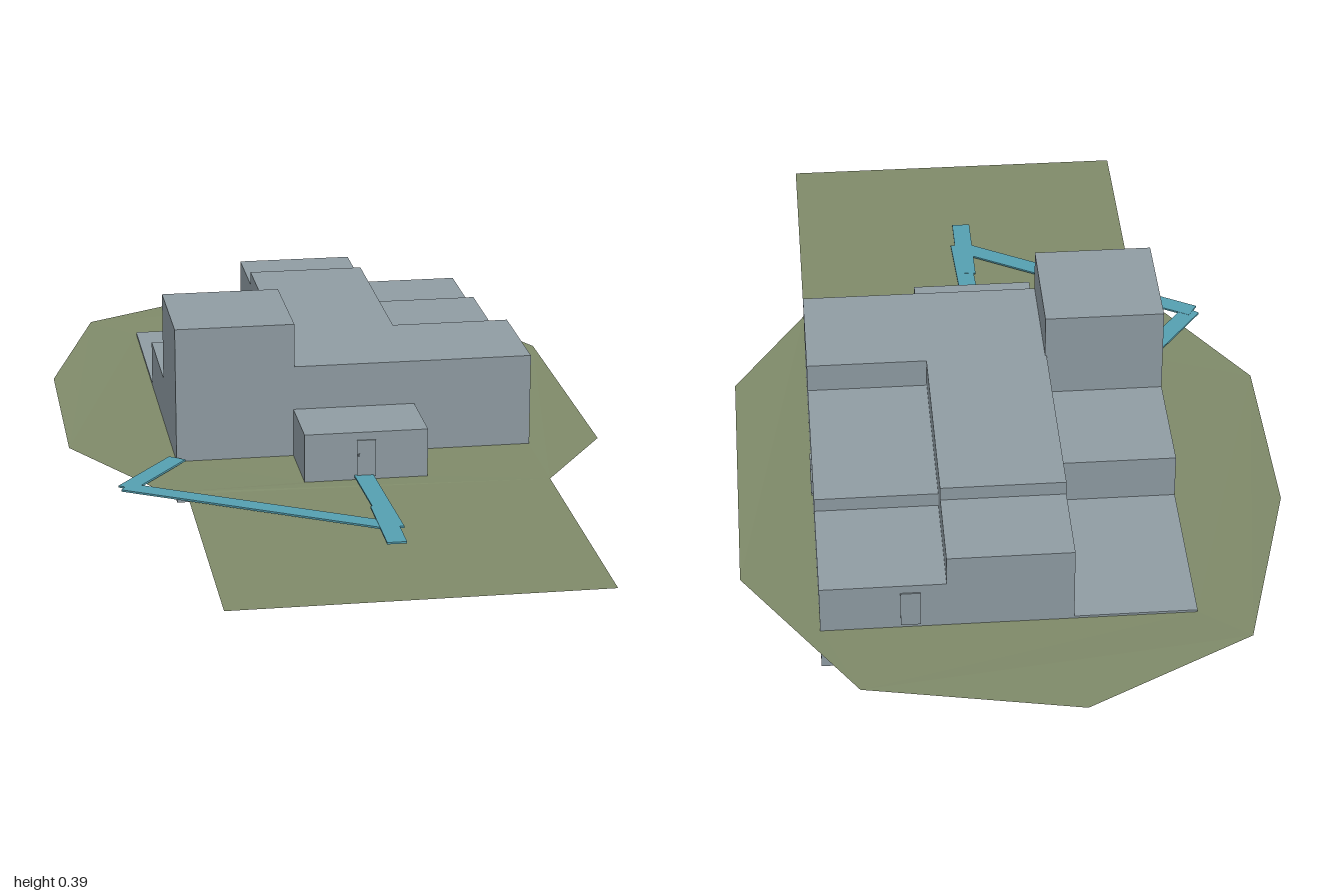
import * as THREE from 'three';

const wall = new THREE.MeshStandardMaterial({ name: 'greyWall', color: 0x8f9ca3 });
const grass = new THREE.MeshStandardMaterial({ name: 'oliveGround', color: 0x7f8a69, side: THREE.DoubleSide });
const water = new THREE.MeshStandardMaterial({ name: 'tealPath', color: 0x559fb0 });

// Box given by its two extreme corners
function block(name, material, [x0, y0, z0], [x1, y1, z1]) {
  const geometry = new THREE.BoxGeometry(x1 - x0, y1 - y0, z1 - z0);
  geometry.translate((x0 + x1) / 2, (y0 + y1) / 2, (z0 + z1) / 2);
  const mesh = new THREE.Mesh(geometry, material);
  mesh.name = name;
  return mesh;
}

// Thin strip along a straight line on the ground
function pathStrip([ax, az], [bx, bz], y) {
  const length = Math.hypot(bx - ax, bz - az);
  const mesh = new THREE.Mesh(new THREE.BoxGeometry(0.04, 0.004, length + 0.02), water);
  mesh.position.set((ax + bx) / 2, y, (az + bz) / 2);
  mesh.rotation.y = Math.atan2(bx - ax, bz - az);
  mesh.name = 'pathStrip';
  return mesh;
}

// Uneven ground sheet, with an opening for the house and porch
function ground() {
  const outline = [ // x, z, height
    [-0.1, -1, 0.1], [0.34, -0.91, 0.098], [0.57, -0.53, 0.08], [0.57, 0.14, 0.086],
    [0.41, 0.39, 0.093], [0.41, 1, 0.093], [-0.35, 1, 0.093], [-0.35, 0.37, 0.094],
    [-0.395, 0.36, 0.096], [-0.57, 0.07, 0.1], [-0.57, -0.38, 0.106], [-0.45, -0.81, 0.1],
  ];
  const opening = [
    [-0.35, -0.72], [0.41, -0.72], [0.41, 0.17], [0.16, 0.17],
    [0.16, 0.335], [-0.1, 0.335], [-0.1, 0.17], [-0.35, 0.17],
  ];
  const flat = (points) => points.map(([x, z]) => new THREE.Vector2(x, -z));
  const shape = new THREE.Shape(flat(outline));
  shape.holes.push(new THREE.Path(flat(opening)));
  const geometry = new THREE.ShapeGeometry(shape).rotateX(-Math.PI / 2).toNonIndexed();
  const position = geometry.attributes.position;
  for (let i = 0; i < position.count; i++) {
    const corner = outline.find(([x, z]) =>
      Math.hypot(x - position.getX(i), z - position.getZ(i)) < 0.001);
    position.setY(i, corner ? corner[2] : 0.093);
  }
  geometry.computeVertexNormals();
  const mesh = new THREE.Mesh(geometry, grass);
  mesh.name = 'ground';
  return mesh;
}

// Porch with walls and roof but no floor
function porch() {
  const mesh = block('porch', wall, [-0.1, 0.093, 0.17], [0.16, 0.197, 0.335]);
  const index = Array.from(mesh.geometry.index.array);
  index.splice(18, 6);
  mesh.geometry.setIndex(index);
  mesh.geometry.clearGroups();
  return mesh;
}

export function createModel() {
  const model = new THREE.Group();
  model.name = 'house';

  // Rooms of different heights on one rectangular footprint: x0, x1, z0, z1, top
  const rooms = {
    tower: [-0.35, -0.097, -0.085, 0.17, 0.386],
    westRoom: [-0.35, -0.1, -0.34, -0.085, 0.195],
    terrace: [-0.35, -0.1, -0.72, -0.34, 0.098],
    hall: [-0.1, 0.157, -0.53, 0.17, 0.292],
    backRoom: [-0.1, 0.157, -0.72, -0.53, 0.262],
    frontRoom: [0.157, 0.412, -0.085, 0.17, 0.292],
    eastRoom: [0.157, 0.412, -0.465, -0.085, 0.228],
    cornerRoom: [0.157, 0.412, -0.72, -0.465, 0.198],
  };
  for (const [name, [x0, x1, z0, z1, top]] of Object.entries(rooms)) {
    model.add(block(name, wall, [x0, 0, z0], [x1, top, z1]));
  }
  model.add(porch(), ground());

  // Doors as thin plates, and the front door handle
  model.add(
    block('frontDoor', wall, [0.01, 0.1, 0.334], [0.05, 0.18, 0.338]),
    block('frontDoorHandle', wall, [0.012, 0.146, 0.338], [0.016, 0.151, 0.341]),
    block('sideDoor', wall, [0.411, 0.104, -0.29], [0.415, 0.184, -0.25]),
    block('backDoor', wall, [0.21, 0.1, -0.723], [0.25, 0.18, -0.719]),
  );

  // Paths from the front door and the tower meeting on the lawn
  model.add(
    pathStrip([-0.355, 0.18], [-0.465, 0.325], 0.1),
    pathStrip([-0.465, 0.335], [0.035, 0.63], 0.1005),
    pathStrip([0.025, 0.345], [0.037, 0.63], 0.101),
    pathStrip([0.028, 0.53], [0.028, 0.715], 0.1015),
  );
  return model;
}
